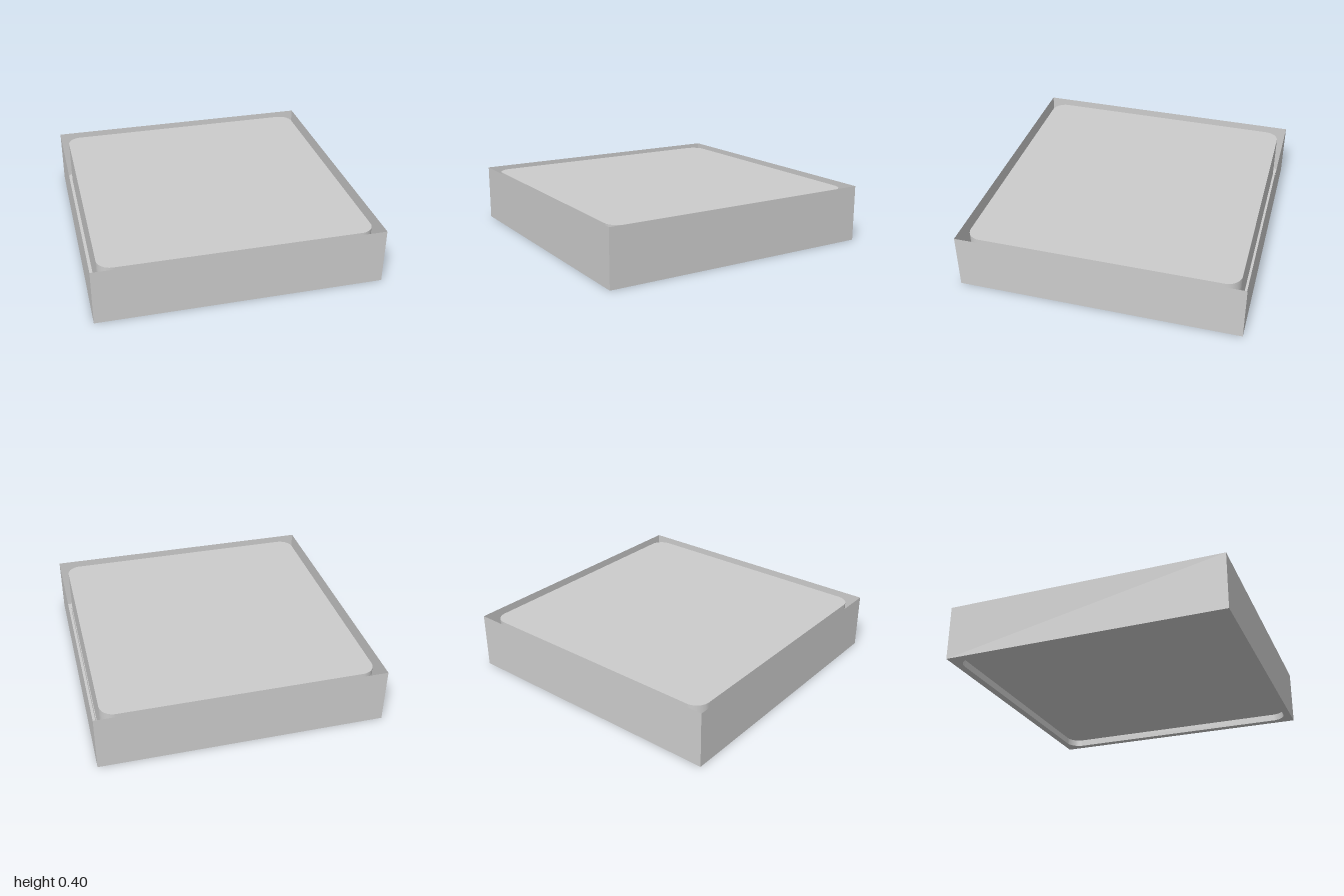
import * as THREE from 'three';

const HEIGHT = 0.4, FLOOR = 0.05, PAD_TOP = 0.38;

// Rounded rectangle centred on (cx, cy), added to a Shape or Path
function roundedRect(target, w, h, r, cx = 0, cy = 0) {
  const x = w / 2 - r, y = h / 2 - r;
  target.absarc(cx + x, cy + y, r, 0, Math.PI / 2);
  target.absarc(cx - x, cy + y, r, Math.PI / 2, Math.PI);
  target.absarc(cx - x, cy - y, r, Math.PI, Math.PI * 1.5);
  target.absarc(cx + x, cy - y, r, Math.PI * 1.5, Math.PI * 2);
  target.closePath();
  return target;
}

const padOutline = target => roundedRect(target, 1.89, 1.895, 0.1);
const rimOutline = target => roundedRect(target, 1.94, 1.945, 0.11, -0.02, -0.0075);

export function createModel() {
  const group = new THREE.Group();
  const solid = new THREE.MeshStandardMaterial({ color: 0xcccccc });
  const thin = new THREE.MeshStandardMaterial({ color: 0xcccccc, side: THREE.DoubleSide, flatShading: true });

  const add = (name, geometry, material, y) => {
    const mesh = new THREE.Mesh(geometry, material);
    mesh.name = name;
    mesh.position.y = y;
    group.add(mesh);
  };
  // Lay a flat shape down, with its thickness pointing up
  const slab = (shape, depth) =>
    new THREE.ExtrudeGeometry(shape, { depth, bevelEnabled: false, curveSegments: 8 }).rotateX(-Math.PI / 2);

  // Thin square walls, open at the top
  const walls = new THREE.CylinderGeometry(Math.SQRT2, Math.SQRT2, HEIGHT, 4, 1, true).rotateY(Math.PI / 4);
  add('walls', walls, thin, HEIGHT / 2);

  // Thin floor around the rim
  const floor = new THREE.Shape().moveTo(-1, -1).lineTo(1, -1).lineTo(1, 1).lineTo(-1, 1).closePath();
  floor.holes.push(rimOutline(new THREE.Path()));
  add('floor', new THREE.ShapeGeometry(floor, 8).rotateX(-Math.PI / 2), thin, 0);

  // Low rim that frames the recess under the pad
  const rim = rimOutline(new THREE.Shape());
  rim.holes.push(padOutline(new THREE.Path()));
  add('floorRim', slab(rim, FLOOR), solid, 0);

  // Rounded pad filling the tray
  add('pad', slab(padOutline(new THREE.Shape()), PAD_TOP - FLOOR), solid, FLOOR);

  return group;
}
